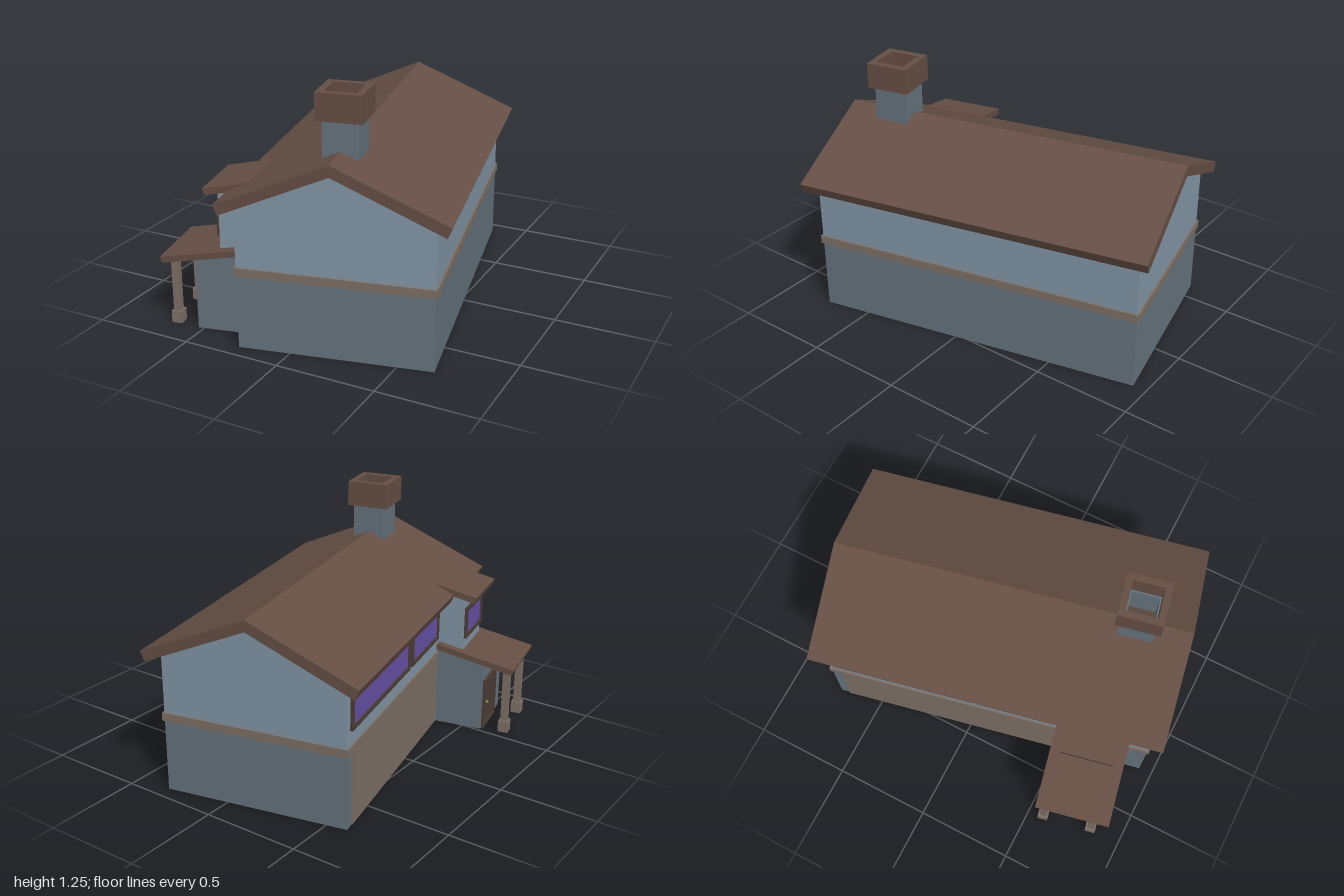
import * as THREE from 'three';

const mat = (color) => new THREE.MeshStandardMaterial({ color, flatShading: true });
const M = {
  roof: mat(0x664f45),
  upper: mat(0x8296a6),
  lower: mat(0x66737e),
  trim: mat(0x7d7065),
  frame: mat(0x4c3d36),
  glass: mat(0x6650a6),
  brass: mat(0x8a8a3a),
};

function add(parent, name, geometry, material) {
  const mesh = new THREE.Mesh(geometry, material);
  mesh.name = name;
  parent.add(mesh);
  return mesh;
}

// Box given by its extents
function box(parent, name, material, [x0, x1], [y0, y1], [z0, z1]) {
  const mesh = add(parent, name, new THREE.BoxGeometry(x1 - x0, y1 - y0, z1 - z0), material);
  mesh.position.set((x0 + x1) / 2, (y0 + y1) / 2, (z0 + z1) / 2);
  return mesh;
}

const shapeOf = (pts) => new THREE.Shape(pts.map(([x, y]) => new THREE.Vector2(x, y)));
const rect = (x0, x1, y0, y1) => [[x0, y0], [x1, y0], [x1, y1], [x0, y1]];

// Profile in x/y drawn out along z
function prism(parent, name, material, pts, z0, z1) {
  const g = new THREE.ExtrudeGeometry(shapeOf(pts), { depth: z1 - z0, bevelEnabled: false });
  g.translate(0, 0, z0);
  return add(parent, name, g, material);
}

// Rectangular ring with an opening
function ringGeometry(outer, inner, depth) {
  const s = shapeOf(outer);
  s.holes.push(shapeOf(inner));
  return new THREE.ExtrudeGeometry(s, { depth, bevelEnabled: false });
}

// Framed panel on a wall that faces -x
function framedPanel(parent, name, panelMaterial, x, z0, z1, y0, y1, border) {
  const g = new THREE.Group();
  g.name = name;
  const ring = ringGeometry(
    rect(z0, z1, y0, y1),
    rect(z0 + border, z1 - border, y0 + border, y1 - border), 0.014);
  add(g, name + 'Frame', ring.rotateY(-Math.PI / 2).translate(x, 0, 0), M.frame);
  box(g, name + 'Panel', panelMaterial, [x - 0.007, x + 0.004],
    [y0 + border, y1 - border], [z0 + border, z1 - border]);
  parent.add(g);
  return g;
}

// Square hollow shaft centred on x, z
function shaft(parent, name, material, half, hole, y0, y1, z) {
  const g = ringGeometry(rect(-half, half, -half, half), rect(-hole, hole, -hole, hole), y1 - y0);
  g.rotateX(-Math.PI / 2).translate(0, y0, z);
  return add(parent, name, g, material);
}

export function createModel() {
  const model = new THREE.Group();
  model.name = 'house';
  const house = new THREE.Group();
  house.name = 'turnedHouse';
  house.position.x = 0.035;
  house.rotation.y = 0.211;
  model.add(house);

  // Main walls: darker ground floor, lighter gabled upper floor
  const W = 0.47, L = 0.85;
  box(house, 'lowerWalls', M.lower, [-W, W], [0, 0.39], [-L, L]);
  prism(house, 'upperWalls', M.upper,
    [[-W, 0.39], [W, 0.39], [W, 0.715], [0, 0.92], [-W, 0.715]], -L, L);
  box(house, 'beltCourse', M.trim, [-W - 0.009, W + 0.009], [0.37, 0.412], [-L - 0.009, L + 0.009]);

  // Gable roof
  prism(house, 'mainRoof', M.roof, [
    [-0.547, 0.735], [-0.526, 0.685], [0, 0.915],
    [0.526, 0.685], [0.547, 0.735], [0, 0.972],
  ], -0.905, 0.905);

  // Chimney on the ridge
  shaft(house, 'chimneyStack', M.lower, 0.086, 0.068, 0.86, 1.13, 0.635);
  shaft(house, 'chimneyCap', M.roof, 0.111, 0.076, 1.113, 1.245, 0.635);

  // Ground-floor panel and upper windows on the right side wall
  box(house, 'sidePanel', M.trim, [-W - 0.006, -W + 0.01], [0.002, 0.37], [-0.8, 0.38]);
  framedPanel(house, 'longWindow', M.glass, -W, -0.82, -0.08, 0.49, 0.66, 0.022);
  framedPanel(house, 'shortWindow', M.glass, -W, -0.05, 0.36, 0.49, 0.66, 0.022);

  // Entry block with door
  prism(house, 'entryWalls', M.lower,
    [[-0.73, 0], [-0.46, 0], [-0.46, 0.435], [-0.73, 0.385]], 0.375, 0.715);
  framedPanel(house, 'door', M.frame, -0.73, 0.385, 0.6, 0.002, 0.28, 0.02);
  const knob = add(house, 'doorKnob', new THREE.SphereGeometry(0.009, 8, 6), M.brass);
  knob.position.set(-0.746, 0.145, 0.42);

  // Porch roof and its two posts
  prism(house, 'porchRoof', M.roof,
    [[-0.895, 0.373], [-0.884, 0.343], [-0.46, 0.424], [-0.46, 0.456]], 0.366, 0.749);
  for (const z of [0.41, 0.67]) {
    const post = new THREE.Group();
    post.name = 'porchPost';
    box(post, 'postShaft', M.trim, [-0.868, -0.832], [0.06, 0.355], [z - 0.018, z + 0.018]);
    box(post, 'postBase', M.trim, [-0.877, -0.823], [0, 0.062], [z - 0.027, z + 0.027]);
    house.add(post);
  }

  // Upper bay with window and lean-to roof
  prism(house, 'bayWalls', M.upper,
    [[-0.603, 0.41], [-0.46, 0.41], [-0.46, 0.76], [-0.603, 0.73]], 0.41, 0.7);
  framedPanel(house, 'bayWindow', M.glass, -0.603, 0.415, 0.695, 0.49, 0.66, 0.022);
  prism(house, 'bayRoof', M.roof,
    [[-0.67, 0.735], [-0.659, 0.703], [-0.437, 0.75], [-0.437, 0.785]], 0.388, 0.726);

  return model;
}
